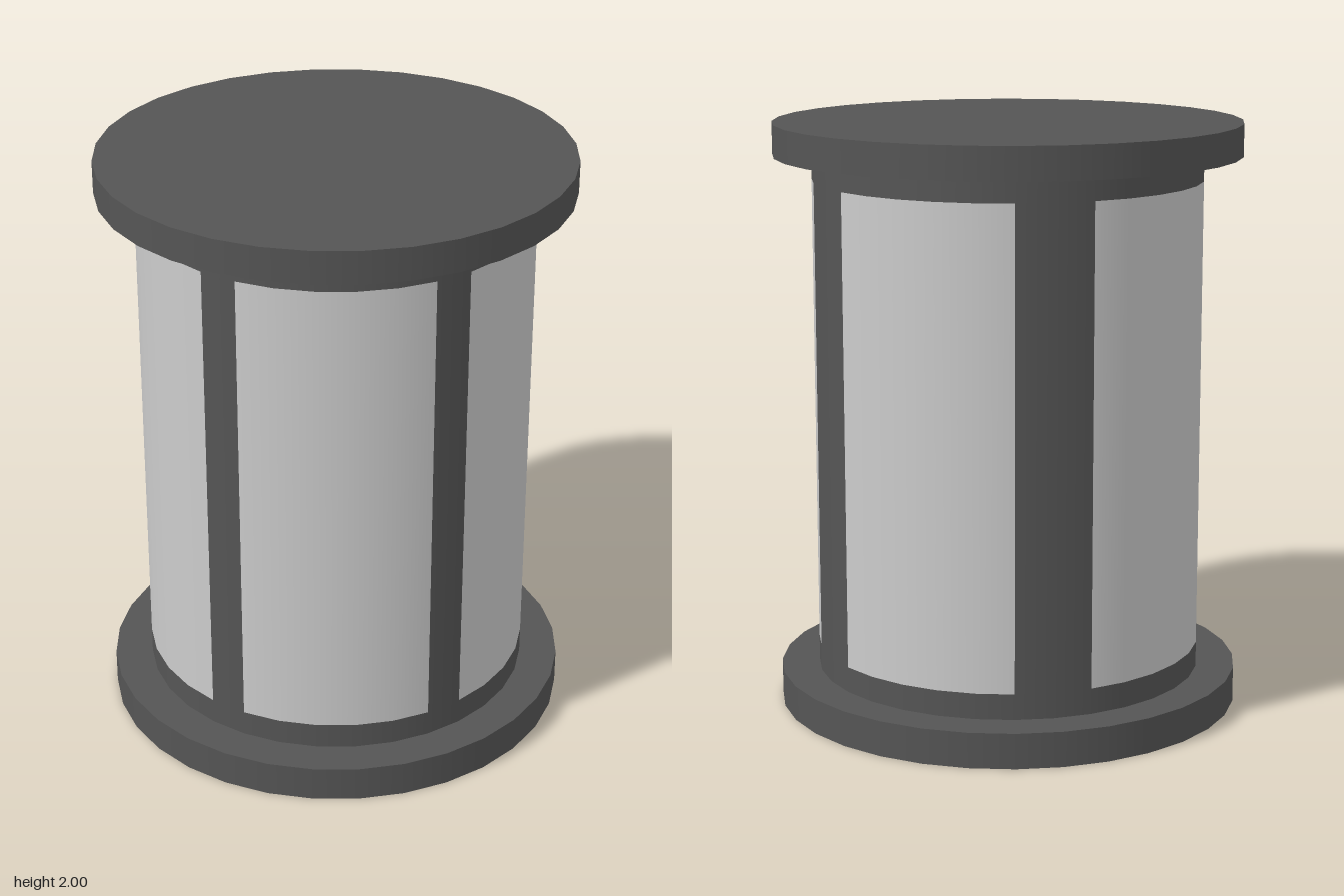
import * as THREE from 'three';

const SIDES = 32;
const STEP = (Math.PI * 2) / SIDES;
const START = THREE.MathUtils.degToRad(-27.5); // left edge of the front panel
const BODY_R = 0.66;
const CAP_R = 0.79;

export function createModel() {
  const group = new THREE.Group();
  const dark = new THREE.MeshStandardMaterial({ color: 0x555555 });
  const light = new THREE.MeshStandardMaterial({ color: 0xcccccc });

  // Upright cylinder, or a slice of its wall, between two heights
  function drum(name, material, radius, y0, y1, open, first = 0, count = SIDES) {
    const geometry = new THREE.CylinderGeometry(
      radius, radius, y1 - y0, count, 1, open, START + first * STEP, count * STEP);
    const mesh = new THREE.Mesh(geometry, material);
    mesh.name = name;
    mesh.position.y = (y0 + y1) / 2;
    group.add(mesh);
  }

  // End caps
  drum('bottomCap', dark, CAP_R, 0, 0.12, false);
  drum('topCap', dark, CAP_R, 1.89, 2, false);

  // Collars above and below the panels
  drum('bottomCollar', dark, BODY_R, 0.12, 0.207, true);
  drum('topCollar', dark, BODY_R, 1.807, 1.89, true);

  // Five light panels, each followed by a dark bar one or two facets wide
  const panelFacets = 5;
  let facet = 0;
  [1, 2, 2, 1, 1].forEach((barFacets, i) => {
    drum(`panel${i + 1}`, light, BODY_R, 0.207, 1.807, true, facet, panelFacets);
    facet += panelFacets;
    drum(`bar${i + 1}`, dark, BODY_R, 0.207, 1.807, true, facet, barFacets);
    facet += barFacets;
  });

  return group;
}
